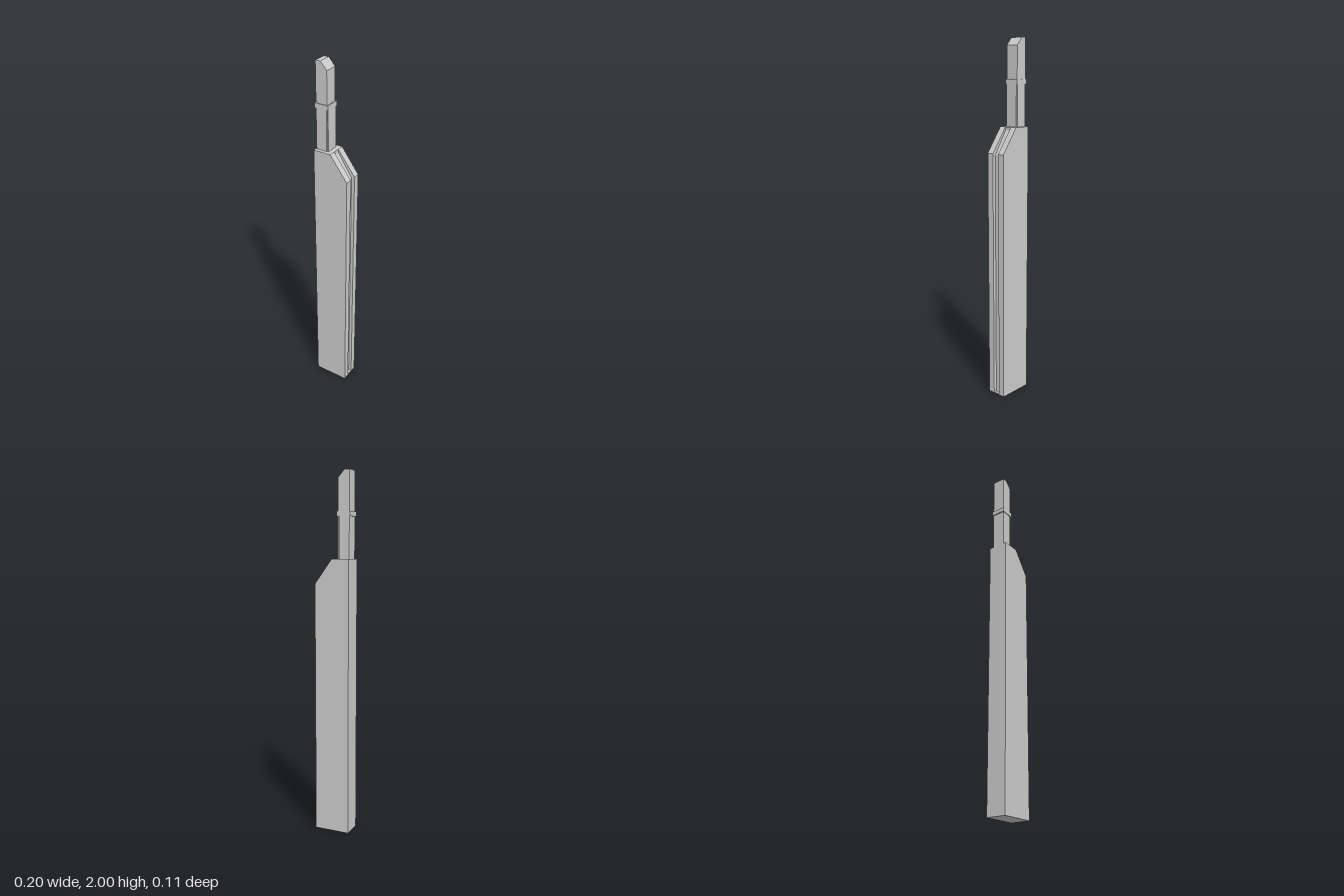
import * as THREE from 'three';

const material = new THREE.MeshStandardMaterial({ color: 0xcccccc, flatShading: true });

// Extrudes an outline in the xy plane between two depths
function slab(name, points, z0, z1) {
  const shape = new THREE.Shape(points.map(([x, y]) => new THREE.Vector2(x, y)));
  const geometry = new THREE.ExtrudeGeometry(shape, { depth: z1 - z0, bevelEnabled: false });
  geometry.translate(0, 0, z0);
  const mesh = new THREE.Mesh(geometry, material);
  mesh.name = name;
  return mesh;
}

const rectangle = (x0, x1, y0, y1) => [[x0, y0], [x1, y0], [x1, y1], [x0, y1]];

export function createModel() {
  const model = new THREE.Group();
  model.name = 'slottedCaseWithBlade';

  // Case: two cheeks around a core set back to leave a groove along the edge
  const body = new THREE.Group();
  body.name = 'case';
  const cheek = [[-0.1, 0], [0.1, 0], [0.1, 1.4], [0, 1.535], [-0.1, 1.535]];
  const core = [
    [-0.1, 0], [0.1, 0], [0.1, 0.005], [0.082, 0.005],
    [0.082, 1.39], [0, 1.518], [0, 1.535], [-0.1, 1.535],
  ];
  body.add(
    slab('frontCheek', cheek, 0.018, 0.056),
    slab('grooveCore', core, -0.02, 0.018),
    slab('backCheek', cheek, -0.057, -0.02),
  );
  model.add(body);

  // Blade with a cut-off corner at the tip
  const blade = [
    [-0.095, 1.53], [-0.034, 1.53], [-0.034, 1.77], [-0.03, 1.77],
    [-0.03, 1.96], [-0.066, 2], [-0.095, 2],
  ];
  model.add(slab('blade', blade, -0.038, 0.036));

  // Thin strip down the blade edge, hanging from the collar
  model.add(slab('edgeStrip', rectangle(-0.03, -0.025, 1.53, 1.77), -0.036, 0.034));

  // Collar around the blade
  model.add(slab('collar', rectangle(-0.102, -0.023, 1.759, 1.785), -0.042, 0.04));
  return model;
}
